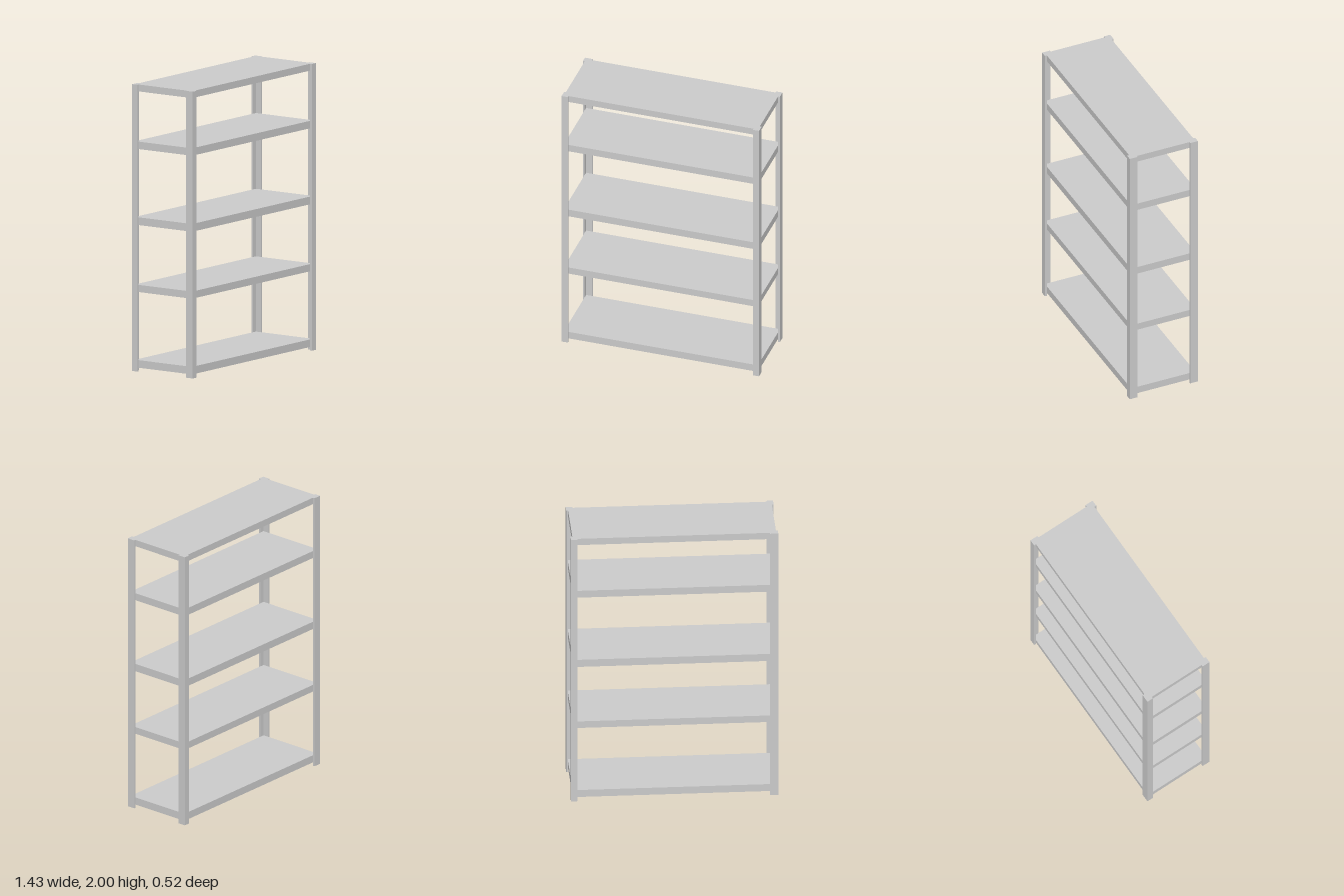
import * as THREE from 'three';

const HALF_X = 0.714, HALF_Z = 0.258;
const WALL_X = 0.013, WALL_Z = 0.015;
const HEIGHT = 2;

export function createModel() {
  const group = new THREE.Group();
  const material = new THREE.MeshStandardMaterial({ color: 0xcccccc, flatShading: true });

  // Angle-iron post: L section wrapping one corner, extruded upwards
  function addPost(name, sx, sz, flangeX, flangeZ) {
    const section = [
      [0, 0], [flangeX, 0], [flangeX, WALL_Z],
      [WALL_X, WALL_Z], [WALL_X, flangeZ], [0, flangeZ],
    ].map(([x, z]) => new THREE.Vector2(sx * (HALF_X - x), -sz * (HALF_Z - z)));
    const geometry = new THREE.ExtrudeGeometry(new THREE.Shape(section), {
      depth: HEIGHT, bevelEnabled: false,
    });
    geometry.rotateX(-Math.PI / 2);
    const post = new THREE.Mesh(geometry, material);
    post.name = name;
    group.add(post);
  }
  addPost('frontLeftPost', 1, 1, 0.045, 0.058);
  addPost('frontRightPost', -1, 1, 0.045, 0.058);
  addPost('backLeftPost', 1, -1, 0.045, 0.058);
  // this post is turned, so its wide flange lies along the back
  addPost('backRightPost', -1, -1, 0.058, 0.045);

  // Shelves: bottom and top height of each board
  const levels = [[0.025, 0.078], [0.553, 0.603], [1.02, 1.074], [1.55, 1.602], [1.952, 2]];
  levels.forEach(([bottom, top], i) => {
    const shelf = new THREE.Mesh(
      new THREE.BoxGeometry(2 * (HALF_X - WALL_X), top - bottom, 2 * (HALF_Z - WALL_Z)),
      material,
    );
    shelf.position.y = (bottom + top) / 2;
    shelf.name = `shelf${i + 1}`;
    group.add(shelf);
  });

  return group;
}
